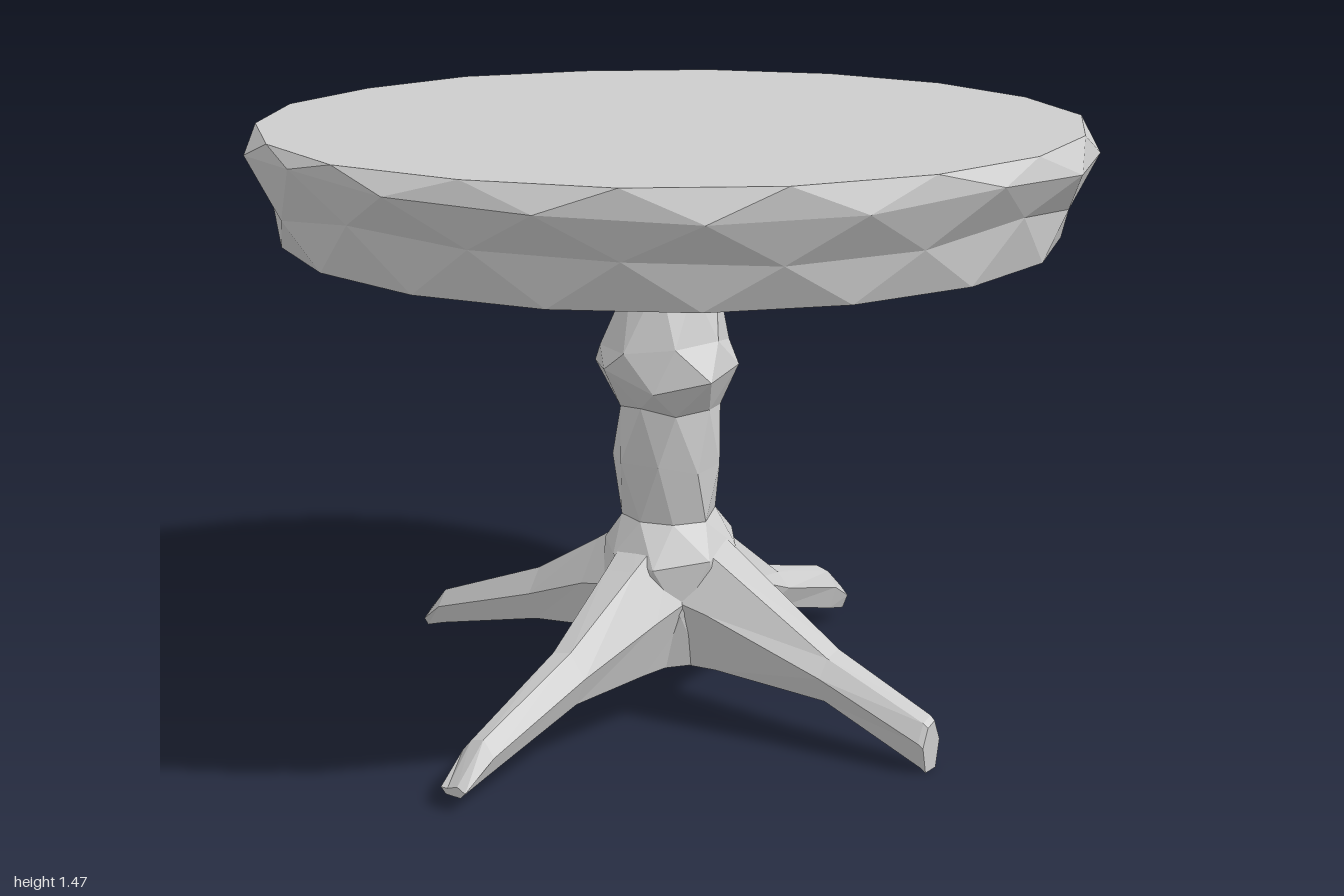
import * as THREE from 'three';

// repeatable wobble in -1..1
function makeWobble(seed) {
  let s = seed;
  return () => {
    s = (s * 16807) % 2147483647;
    return (s / 2147483647) * 2 - 1;
  };
}

// skins a list of rings (equal point counts, counter-clockwise)
function skin(rings, capEnd = false) {
  const n = rings[0].length;
  const index = [];
  for (let j = 0; j < rings.length - 1; j++) {
    for (let i = 0; i < n; i++) {
      const a = j * n + i, b = j * n + (i + 1) % n;
      index.push(a, b, a + n, b, b + n, a + n);
    }
  }
  const last = (rings.length - 1) * n;
  if (capEnd) for (let i = 1; i < n - 1; i++) index.push(last, last + i, last + i + 1);
  const geometry = new THREE.BufferGeometry();
  geometry.setAttribute('position', new THREE.Float32BufferAttribute(rings.flat(2), 3));
  geometry.setIndex(index);
  geometry.computeVertexNormals();
  return geometry;
}

// turned form of rows [radius, y, radius wobble, y wobble, x, z], each row twisted half a step
function turned(rows, sides, seed) {
  const wobble = makeWobble(seed);
  return skin(rows.map(([r, y, dr = 0, dy = 0, cx = 0, cz = 0], j) =>
    Array.from({ length: sides }, (_, i) => {
      const a = ((i + j / 2) / sides) * Math.PI * 2;
      const rr = r + dr * wobble();
      return [cx + rr * Math.sin(a), y + dy * wobble(), cz + rr * Math.cos(a)];
    })));
}

// leg along +z with rows [distance, bottom y, top y, half width], narrowing to the bottom
function legGeometry(rows) {
  return skin(rows.map(([z, low, high, w]) => {
    const mid = low + (high - low) * 0.55;
    return [
      [w * 0.6, low, z], [w, mid, z], [w * 0.35, high, z],
      [-w * 0.45, high - 0.01, z], [-w, mid, z], [-w * 0.6, low, z],
    ];
  }), true);
}

export function createModel() {
  const table = new THREE.Group();
  table.name = 'pedestalTable';
  const grey = new THREE.MeshStandardMaterial({ color: 0xcccccc });
  grey.name = 'grey';
  grey.flatShading = true;

  const add = (name, geometry) => {
    const mesh = new THREE.Mesh(geometry, grey);
    mesh.name = name;
    table.add(mesh);
    return mesh;
  };

  // round top with a flared edge and a skirt sloping in to a shallow hollow underside
  add('tableTop', turned([
    [0, 1.33],
    [0.84, 1.33],
    [0.922, 1.2],
    [0.945, 1.315, 0.008, 0.025],
    [0.998, 1.415, 0.008, 0.022],
    [0.978, 1.465, 0.01, 0],
    [0, 1.465],
  ], 18, 71));

  // rough turned column flaring into the hub below
  add('column', turned([
    [0, 0.14],
    [0.15, 0.14, 0.01, 0.003],
    [0.165, 0.28, 0.012, 0.02],
    [0.17, 0.41, 0.012, 0.02],
    [0.115, 0.5, 0.015, 0.02, -0.005, 0.01],
    [0.135, 0.62, 0.012, 0.03],
    [0.118, 0.77, 0.012, 0.015, 0, 0.01],
    [0.18, 0.86, 0.015, 0.025, 0.005, 0.01],
    [0.168, 0.94, 0.015, 0.025, -0.005, 0.015],
    [0.108, 1.09, 0.01, 0.025],
    [0.098, 1.2, 0.008, 0, -0.005, 0.005],
    [0.12, 1.335, 0.02, 0],
  ], 8, 29));

  // four splayed legs, each cut a little differently
  const legs = [
    ['frontLeg', 0, [[0.04, 0.14, 0.5, 0.14], [0.2, 0.14, 0.4, 0.105], [0.43, 0.135, 0.26, 0.065],
      [0.74, 0.06, 0.145, 0.046], [0.83, 0.035, 0.06, 0.036]]],
    ['leftLeg', 1, [[0.04, 0.14, 0.5, 0.14], [0.18, 0.14, 0.42, 0.105], [0.48, 0.12, 0.235, 0.062],
      [0.74, 0.01, 0.13, 0.042], [0.752, 0, 0.12, 0.038]]],
    ['backLeg', 2, [[0.04, 0.14, 0.5, 0.14], [0.2, 0.14, 0.4, 0.105], [0.44, 0.13, 0.235, 0.065],
      [0.7, 0.05, 0.165, 0.046], [0.775, 0.03, 0.1, 0.038]]],
    ['rightLeg', 3, [[0.04, 0.14, 0.5, 0.14], [0.2, 0.175, 0.4, 0.105], [0.4, 0.145, 0.28, 0.068],
      [0.73, 0.06, 0.15, 0.046], [0.79, 0.04, 0.08, 0.036]]],
  ];
  for (const [name, turn, rows] of legs) {
    add(name, legGeometry(rows)).rotation.y = turn * Math.PI / 2;
  }

  return table;
}
